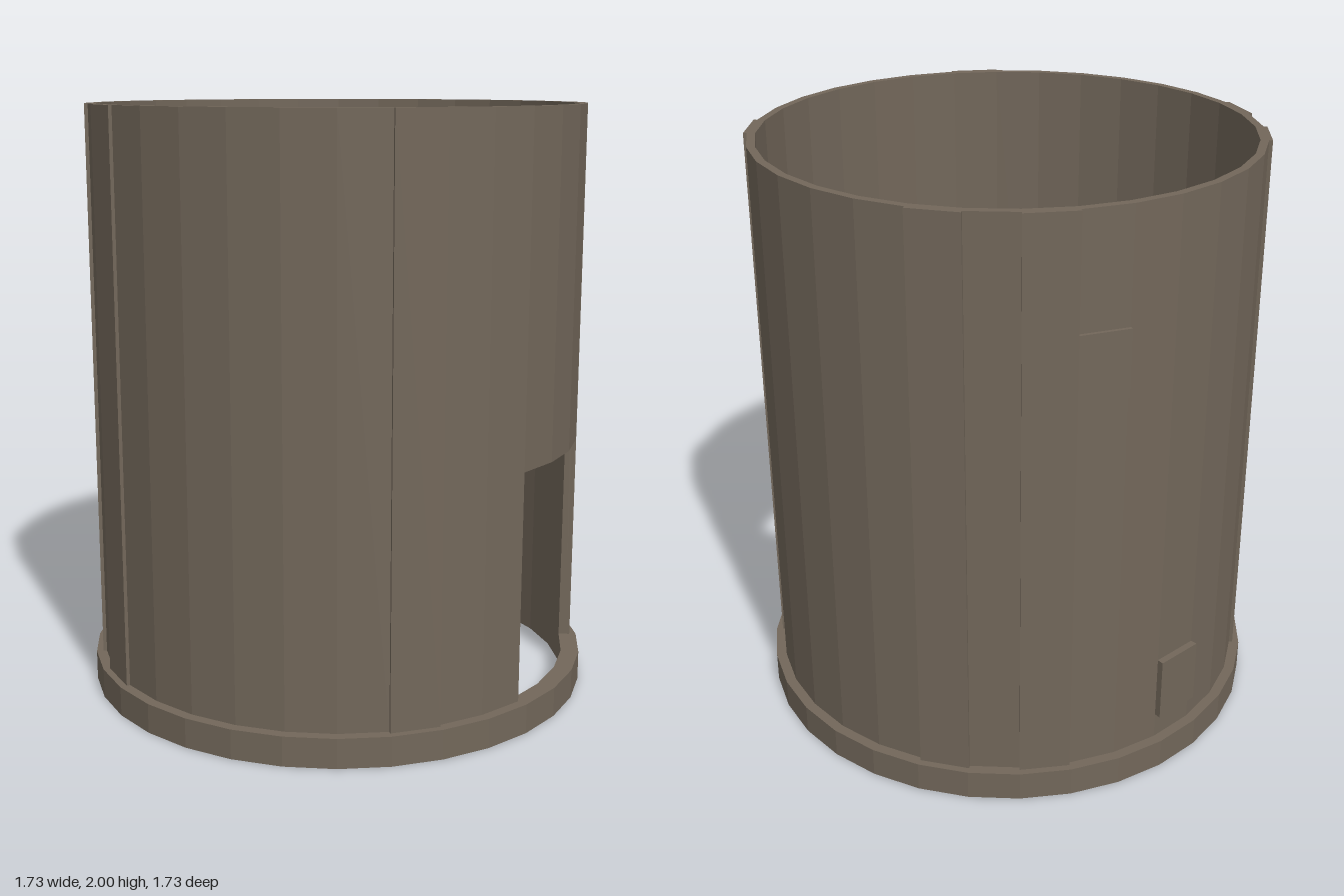
import * as THREE from 'three';

const SIDES = 32;
const STEP = (Math.PI * 2) / SIDES;
const R_IN = 0.805, R_WALL = 0.832, R_STRIP = 0.844, R_PATCH = 0.855, R_BASE = 0.867;
const BASE_TOP = 0.1, DOOR_TOP = 0.87, TOP = 2;

// Faceted ring segment from facet k0 to facet k1 (counted from +x towards the back)
function ringSegment(k0, k1, rIn, rOut, y0, y1) {
  const at = (k, r) => new THREE.Vector2(r * Math.cos(k * STEP), r * Math.sin(k * STEP));
  const outer = [], inner = [];
  for (let k = k0; k <= k1; k++) {
    outer.push(at(k, rOut));
    inner.push(at(k, rIn));
  }
  let shape;
  if (k1 - k0 === SIDES) {
    outer.pop();
    inner.pop();
    shape = new THREE.Shape(outer);
    shape.holes.push(new THREE.Path(inner));
  } else {
    shape = new THREE.Shape([...outer, ...inner.reverse()]);
  }
  const geo = new THREE.ExtrudeGeometry(shape, { depth: y1 - y0, bevelEnabled: false });
  geo.rotateX(-Math.PI / 2);
  geo.translate(0, y0, 0);
  return geo;
}

export function createModel() {
  const group = new THREE.Group();
  const metal = new THREE.MeshStandardMaterial({ color: 0x72675a, flatShading: true });
  metal.name = 'brownMetal';

  const add = (name, ...args) => {
    const mesh = new THREE.Mesh(ringSegment(...args), metal);
    mesh.name = name;
    group.add(mesh);
  };

  // Base flange
  add('baseRing', 0, SIDES, R_IN, R_BASE, 0, BASE_TOP);

  // Shell with a doorway on the +x side
  add('wall', 2, SIDES - 2, R_IN, R_WALL, BASE_TOP, TOP);
  add('wallAboveDoor', -2, 2, R_IN, R_WALL, DOOR_TOP, TOP);

  // Raised vertical seam strips, one facet wide
  for (const k of [2, 9, 11, 18, 20, 27]) {
    add('seamStrip', k, k + 1, R_WALL - 0.004, R_STRIP, BASE_TOP, TOP);
  }

  // Small repair plates on the back left
  add('lowerPlate', 14, 15, R_WALL - 0.004, R_PATCH, 0.19, 0.41);
  add('upperPlate', 12, 13, R_WALL - 0.004, R_STRIP, 1.41, 1.63);

  return group;
}
